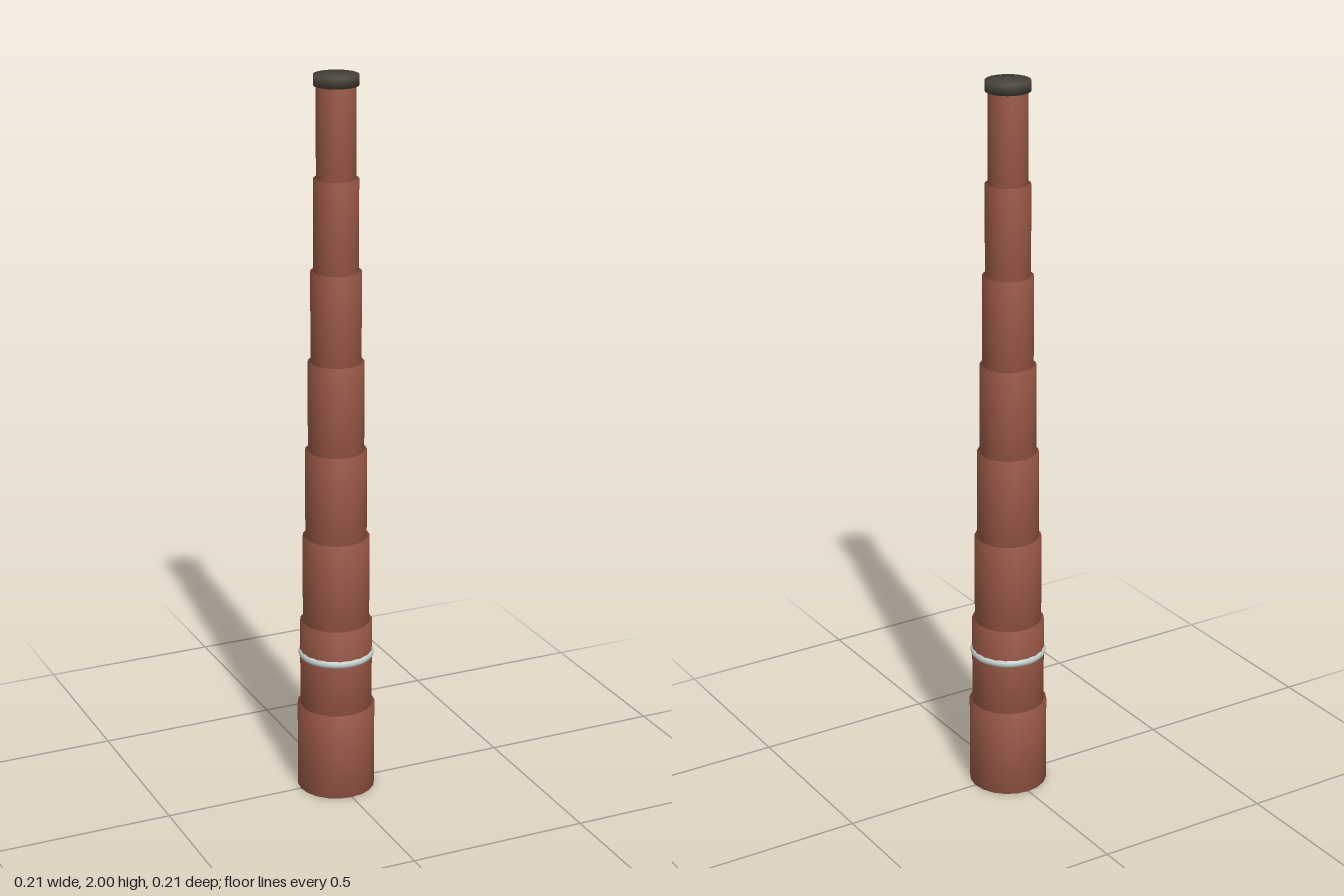
import * as THREE from 'three';
import { mergeVertices } from 'three/addons/utils/BufferGeometryUtils.js';

// Closed cylinder whose normals flow smoothly over the rims
function smoothDrum(radius, height, sides) {
  const geo = new THREE.CylinderGeometry(radius, radius, height, sides);
  geo.deleteAttribute('normal');
  geo.deleteAttribute('uv');
  const merged = mergeVertices(geo, 1e-5);
  merged.computeVertexNormals();
  return merged;
}

export function createModel() {
  const brick = new THREE.MeshStandardMaterial({ name: 'brick', color: 0x965645 });
  const soot = new THREE.MeshStandardMaterial({ name: 'soot', color: 0x47433b });
  const steel = new THREE.MeshStandardMaterial({ name: 'pale steel', color: 0xc4ceca });

  const model = new THREE.Group();
  model.name = 'chimney';
  const add = (name, geo, material, y) => {
    const mesh = new THREE.Mesh(geo, material);
    mesh.name = name;
    mesh.position.y = y;
    model.add(mesh);
    return mesh;
  };

  // Stack of eight drums, each narrower than the one below
  const count = 8, height = 0.247;
  for (let i = 0; i < count; i++) {
    const radius = 0.107 - i * 0.0078;
    add(`stackSection${i + 1}`, smoothDrum(radius, height, 20), brick, (i + 0.5) * height);
  }

  // Dark cap overhanging the top section
  add('cap', smoothDrum(0.059, 0.028, 32), soot, 1.986);

  // Metal band around the second section
  const band = add('band', new THREE.TorusGeometry(0.092, 0.012, 12, 40), steel, 0.4);
  band.rotation.x = Math.PI / 2;

  return model;
}
